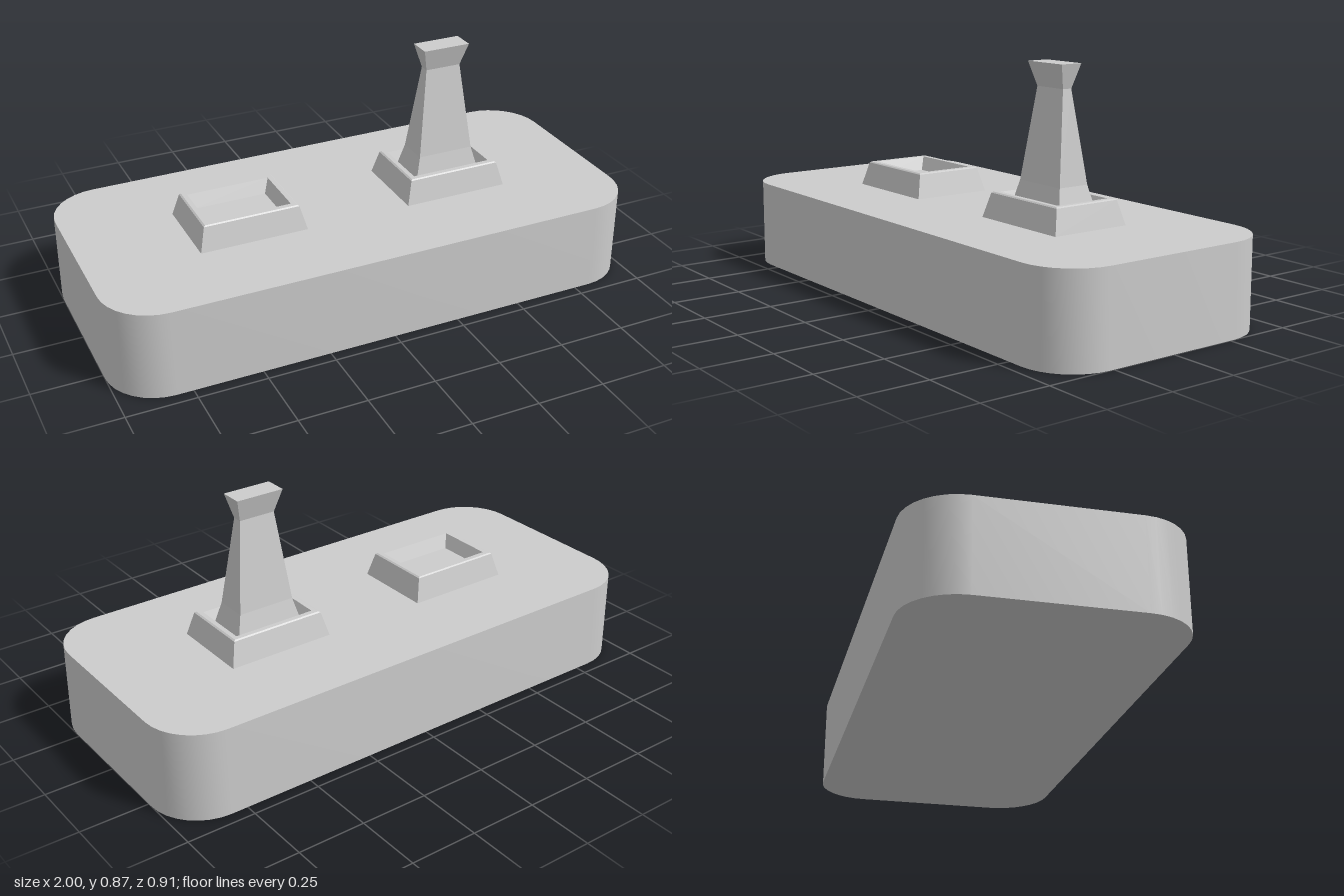
import * as THREE from 'three';
import { toCreasedNormals } from 'three/addons/utils/BufferGeometryUtils.js';

const material = new THREE.MeshStandardMaterial({ color: 0xcccccc });

// Rectangular loft through levels of [halfX, y, halfZ], optionally capped at the last level
function rectLoft(levels, capEnd) {
  const pos = [];
  const corners = levels.map(([a, y, c]) => [[a, y, c], [a, y, -c], [-a, y, -c], [-a, y, c]]);
  const quad = (a, b, c, d) => pos.push(...a, ...b, ...c, ...a, ...c, ...d);
  for (let i = 0; i < corners.length - 1; i++) {
    for (let k = 0; k < 4; k++) {
      const n = (k + 1) % 4;
      quad(corners[i][k], corners[i][n], corners[i + 1][n], corners[i + 1][k]);
    }
  }
  if (capEnd) quad(...corners[corners.length - 1]);
  const g = new THREE.BufferGeometry();
  g.setAttribute('position', new THREE.Float32BufferAttribute(pos, 3));
  g.computeVertexNormals();
  return g;
}

// Rounded slab lying flat, bottom at y = 0
function slab(w, d, h, r) {
  const x = w / 2 - r, z = d / 2 - r;
  const s = new THREE.Shape();
  s.absarc(x, z, r, 0, Math.PI / 2);
  s.absarc(-x, z, r, Math.PI / 2, Math.PI);
  s.absarc(-x, -z, r, Math.PI, Math.PI * 1.5);
  s.absarc(x, -z, r, Math.PI * 1.5, Math.PI * 2);
  const g = new THREE.ExtrudeGeometry(s, { depth: h, bevelEnabled: false, curveSegments: 4 });
  g.rotateX(-Math.PI / 2);
  return toCreasedNormals(g, Math.PI / 5);
}

export function createModel() {
  const model = new THREE.Group();
  model.name = 'leverPanel';
  const add = (name, geometry, x = 0) => {
    const mesh = new THREE.Mesh(geometry, material);
    mesh.name = name;
    mesh.position.x = x;
    model.add(mesh);
  };

  add('base', slab(2, 0.914, 0.324, 0.19));

  // Sloped frames with a sunken floor
  const frame = rectLoft([
    [0.2, 0.324, 0.153],
    [0.178, 0.411, 0.131],
    [0.172, 0.415, 0.126],
    [0.155, 0.415, 0.108],
    [0.134, 0.365, 0.086],
  ], true);
  add('rightFrame', frame, -0.4);
  add('leftFrame', frame, 0.4);

  // Tapered lever with a flared grip
  add('lever', rectLoft([
    [0.131, 0.365, 0.082],
    [0.107, 0.46, 0.06],
    [0.068, 0.785, 0.018],
    [0.09, 0.87, 0.042],
  ], true), 0.4);

  return model;
}
